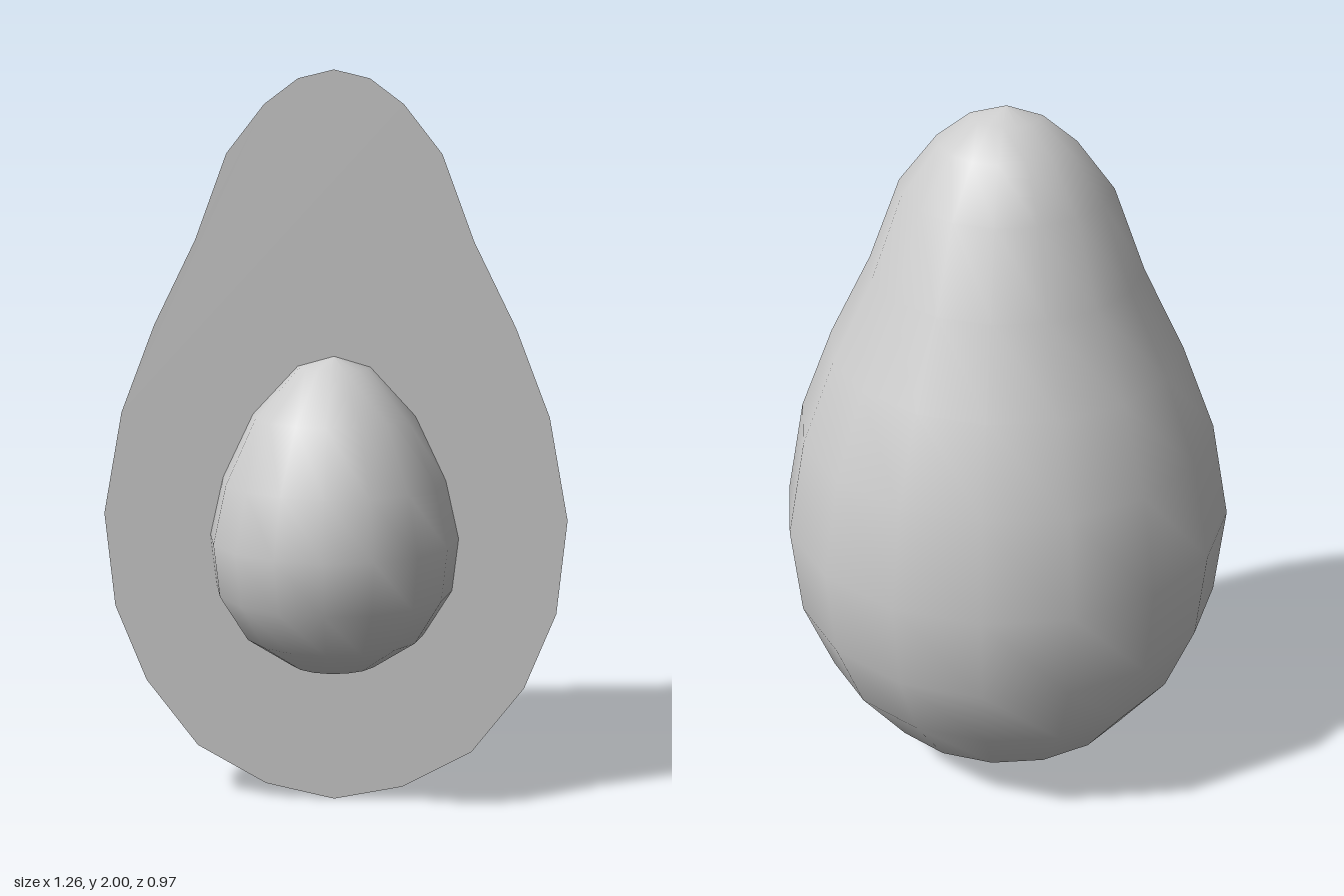
import * as THREE from 'three';

const CUT_Z = 0.146; // plane of the sliced face
const SEGMENTS = 8; // sides around each half turn

// Half profiles as [radius, height], bottom to top
const FRUIT = [
  [0, 0], [0.19, 0.04], [0.38, 0.145], [0.522, 0.33], [0.606, 0.54], [0.632, 0.8], [0.58, 1.08],
  [0.487, 1.32], [0.373, 1.55], [0.287, 1.78], [0.185, 1.91], [0.095, 1.977], [0, 2],
];
const STONE = [
  [0, 0.37], [0.12, 0.392], [0.245, 0.475], [0.322, 0.6], [0.339, 0.745],
  [0.303, 0.905], [0.22, 1.08], [0.098, 1.212], [0, 1.24],
];

const toPoints = (profile) => profile.map(([r, y]) => new THREE.Vector2(r, y));

// Closed symmetrical outline: up the +x side, down the -x side
function outline(profile) {
  const right = toPoints(profile);
  const left = right.slice(1, -1).reverse().map((p) => new THREE.Vector2(-p.x, p.y));
  return [...right, ...left];
}

export function createModel() {
  const group = new THREE.Group();
  group.name = 'halvedAvocado';
  const material = new THREE.MeshStandardMaterial({ color: 0xcccccc });

  const add = (name, geometry) => {
    const mesh = new THREE.Mesh(geometry, material);
    mesh.name = name;
    mesh.position.z = CUT_Z;
    group.add(mesh);
  };
  const halfTurn = (profile, start) =>
    new THREE.LatheGeometry(toPoints(profile), SEGMENTS, start, Math.PI);

  // Rounded skin behind the cut
  add('skin', halfTurn(FRUIT, Math.PI / 2));

  // Flat flesh with an opening where the stone sits
  const flesh = new THREE.Shape(outline(FRUIT));
  flesh.holes.push(new THREE.Path(outline(STONE)));
  add('flesh', new THREE.ShapeGeometry(flesh));

  // Stone bulging out of the front
  add('stone', halfTurn(STONE, -Math.PI / 2));

  return group;
}
